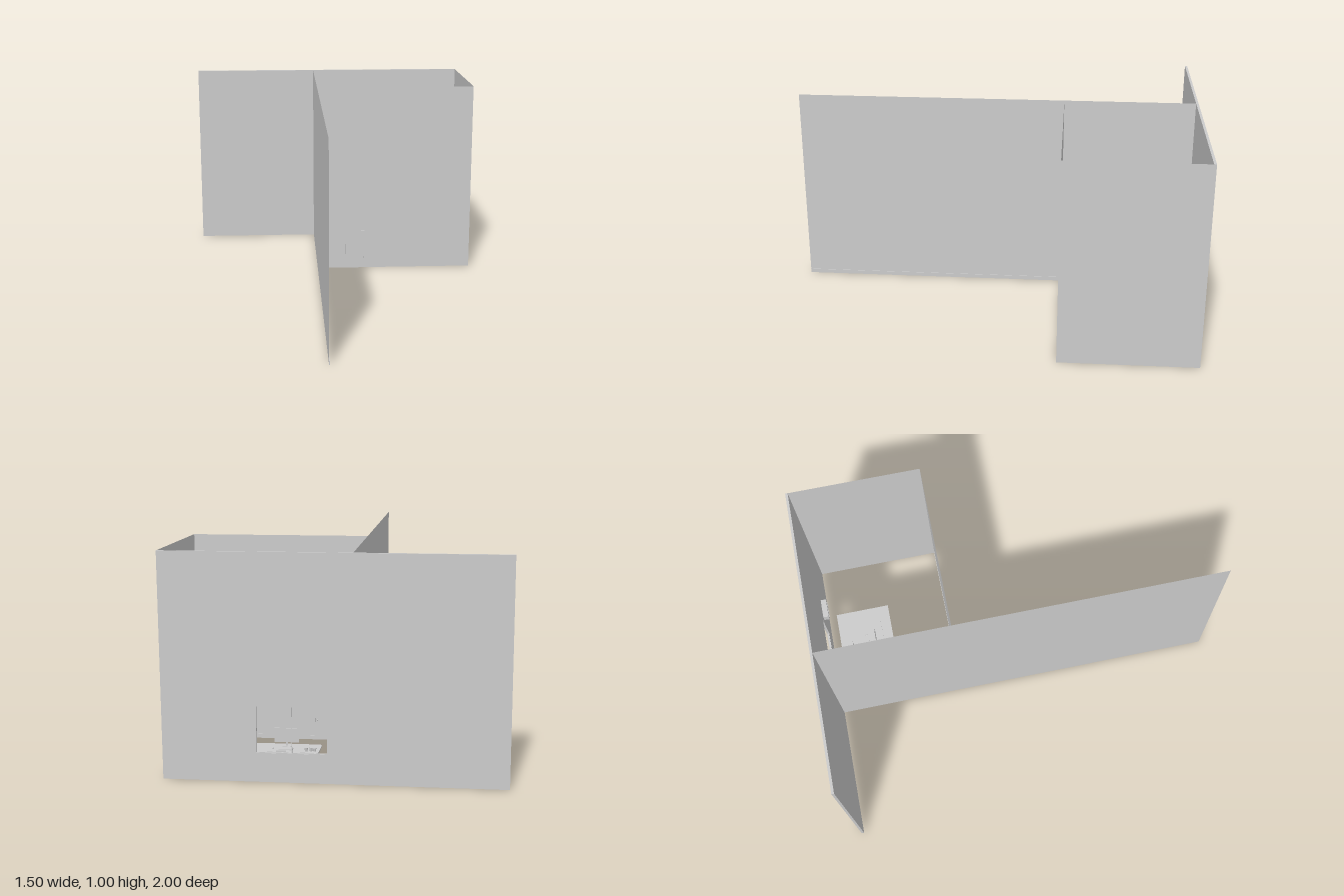
import * as THREE from 'three';

const mat = new THREE.MeshStandardMaterial({ color: 0xcccccc });
const thin = new THREE.MeshStandardMaterial({ color: 0xcccccc, side: THREE.DoubleSide });

function add(parent, name, geometry, x = 0, y = 0, z = 0, material = mat) {
  const mesh = new THREE.Mesh(geometry, material);
  mesh.name = name;
  mesh.position.set(x, y, z);
  parent.add(mesh);
  return mesh;
}

// Box given by its limits on each axis
function box(parent, name, [x0, x1], [y0, y1], [z0, z1]) {
  return add(parent, name, new THREE.BoxGeometry(x1 - x0, y1 - y0, z1 - z0),
    (x0 + x1) / 2, (y0 + y1) / 2, (z0 + z1) / 2);
}

function cylinder(parent, name, rTop, rBottom, h, x, y, z) {
  return add(parent, name, new THREE.CylinderGeometry(rTop, rBottom, h, 24), x, y + h / 2, z);
}

function group(parent, name, x = 0, y = 0, z = 0) {
  const g = new THREE.Group();
  g.name = name;
  g.position.set(x, y, z);
  parent.add(g);
  return g;
}

const LEFT = 0.75, DIVIDER = -0.083, BACK = -0.988, FRONT = -0.34;

function buildWalls(root) {
  const walls = group(root, 'walls');

  // Back wall with window opening
  const shape = new THREE.Shape();
  shape.moveTo(-0.75, 0).lineTo(0.75, 0).lineTo(0.75, 1).lineTo(-0.75, 1).closePath();
  const hole = new THREE.Path();
  hole.moveTo(0.03, 0.13).lineTo(0.03, 0.335).lineTo(0.335, 0.335).lineTo(0.335, 0.13).closePath();
  shape.holes.push(hole);
  add(walls, 'backWall', new THREE.ExtrudeGeometry(shape, { depth: 0.012, bevelEnabled: false }), 0, 0, -1);

  // Single-sheet partitions
  add(walls, 'frontWall', new THREE.PlaneGeometry(LEFT - DIVIDER, 1), (LEFT + DIVIDER) / 2, 0.5, FRONT, thin);
  const divider = add(walls, 'dividerWall', new THREE.PlaneGeometry(2, 1), DIVIDER, 0.5, 0, thin);
  const side = add(walls, 'sideWall', new THREE.PlaneGeometry(FRONT + 1, 1), LEFT, 0.5, (FRONT - 1) / 2, thin);
  divider.rotation.y = side.rotation.y = Math.PI / 2;

  // Skirting boards
  box(walls, 'dividerSkirting', [DIVIDER, DIVIDER + 0.003], [0, 0.02], [BACK, 1]);
  box(walls, 'frontSkirting', [0.175, LEFT], [0, 0.02], [FRONT - 0.002, FRONT]);

  // Window mullion and sill
  box(walls, 'windowMullion', [0.181, 0.184], [0.13, 0.335], [-0.996, -0.992]);
  box(walls, 'windowSill', [0.03, 0.335], [0.13, 0.133], [-0.998, -0.99]);
}

function buildDoor(root) {
  const door = group(root, 'door');
  for (const x of [0.068, 0.17]) box(door, 'doorJamb', [x, x + 0.004], [0, 0.212], [FRONT - 0.004, FRONT + 0.002]);
  box(door, 'doorHead', [0.068, 0.174], [0.208, 0.212], [FRONT - 0.004, FRONT + 0.002]);
  box(door, 'doorLeaf', [0.072, 0.17], [0, 0.208], [FRONT - 0.003, FRONT + 0.001]);
  add(door, 'doorKnob', new THREE.SphereGeometry(0.003, 12, 8), 0.162, 0.1, FRONT - 0.005);
}

function buildDesk(root) {
  const desk = group(root, 'desk', 0.24, 0, -0.77);
  const w = 0.15, d = 0.065, r = 0.015;
  const top = new THREE.Shape();
  top.moveTo(-w + r, -d).lineTo(w - r, -d).quadraticCurveTo(w, -d, w, -d + r);
  top.lineTo(w, d - r).quadraticCurveTo(w, d, w - r, d);
  top.lineTo(-w + r, d).quadraticCurveTo(-w, d, -w, d - r);
  top.lineTo(-w, -d + r).quadraticCurveTo(-w, -d, -w + r, -d);
  const slab = new THREE.ExtrudeGeometry(top, { depth: 0.006, bevelEnabled: false });
  slab.rotateX(-Math.PI / 2);
  add(desk, 'deskTop', slab, 0, 0.079, 0);
  for (const x of [-1, 1]) for (const z of [-1, 1])
    cylinder(desk, 'deskLeg', 0.004, 0.003, 0.079, x * 0.135, 0, z * 0.05);

  // Things on the desk
  const y = 0.085;
  box(desk, 'monitorScreen', [-0.05, 0.062], [0.105, 0.17], [0.022, 0.027]);
  box(desk, 'monitorNeck', [0.002, 0.01], [y, 0.12], [0.027, 0.031]);
  box(desk, 'monitorFoot', [-0.014, 0.026], [y, y + 0.002], [0.018, 0.04]);
  box(desk, 'keyboard', [-0.03, 0.035], [y, y + 0.003], [-0.035, -0.015]);
  add(desk, 'mouse', new THREE.SphereGeometry(0.006, 16, 8).scale(0.8, 0.5, 1.2), 0.062, y + 0.003, -0.022);
  [[-0.13, -0.04], [-0.113, -0.036], [-0.092, -0.04]].forEach(([x, z]) => {
    cylinder(desk, 'cup', 0.008, 0.006, 0.016, x, y, z);
  });
}

function buildChair(root) {
  const chair = group(root, 'chair', 0.25, 0, -0.855);
  box(chair, 'chairSeat', [-0.024, 0.024], [0.044, 0.05], [-0.018, 0.02]);
  box(chair, 'chairBack', [-0.022, 0.022], [0.06, 0.105], [-0.022, -0.018]);
  box(chair, 'chairSpine', [-0.003, 0.003], [0.044, 0.07], [-0.025, -0.02]);
  cylinder(chair, 'chairPost', 0.003, 0.003, 0.04, 0, 0.006, 0);
  for (let i = 0; i < 5; i++) {
    const a = i * Math.PI * 0.4;
    const foot = add(chair, 'chairFoot', new THREE.BoxGeometry(0.024, 0.004, 0.004),
      Math.cos(a) * 0.012, 0.006, -Math.sin(a) * 0.012);
    foot.rotation.y = a;
  }
}

function buildBookcase(root) {
  const shelf = group(root, 'bookcase');
  const X = [-0.082, -0.037], z0 = -0.89, z1 = -0.68, H = 0.3, t = 0.004;
  for (const z of [z0, z1 - t]) box(shelf, 'bookcaseSide', X, [0, H], [z, z + t]);
  for (let i = 0; i < 5; i++) {
    const y = i * (H - t) / 4;
    box(shelf, 'bookcaseShelf', X, [y, y + t], [z0, z1]);
    if (i === 4) continue;
    for (let b = 0; b < 9; b++) {
      const z = z0 + 0.01 + b * 0.012 + (i % 2) * 0.08;
      box(shelf, 'book', [-0.08, -0.05], [y + t, y + 0.048 + 0.006 * ((b * 3 + i) % 3)], [z, z + 0.01]);
    }
  }
}

function buildLamp(root) {
  const lamp = group(root, 'floorLamp', -0.06, 0, -0.37);
  cylinder(lamp, 'lampBase', 0.014, 0.016, 0.005, 0, 0, 0);
  cylinder(lamp, 'lampPole', 0.002, 0.002, 0.175, 0, 0.005, 0);
  const bowl = [[0.002, 0.178], [0.012, 0.181], [0.018, 0.188], [0.022, 0.2]];
  add(lamp, 'lampShade', new THREE.LatheGeometry(bowl.map(p => new THREE.Vector2(...p)), 28), 0, 0, 0, thin);
  add(lamp, 'lampBulb', new THREE.SphereGeometry(0.009, 16, 12), 0, 0.19, 0);
}

export function createModel() {
  const root = new THREE.Group();
  root.name = 'office';
  buildWalls(root);
  buildDoor(root);

  box(root, 'rug', [0.042, 0.485], [0, 0.002], [-0.945, -0.655]);
  buildDesk(root);
  buildChair(root);
  buildBookcase(root);
  buildLamp(root);

  // Bean bag: rounded base drawn up to a soft peak
  const bag = [[0, 0], [0.035, 0], [0.047, 0.012], [0.05, 0.026], [0.044, 0.044], [0.03, 0.06], [0.014, 0.071], [0, 0.075]];
  add(root, 'beanBag', new THREE.LatheGeometry(
    new THREE.SplineCurve(bag.map(p => new THREE.Vector2(...p))).getPoints(28).map(p => p.set(Math.max(p.x, 0), Math.max(p.y, 0))),
    36), 0.01, 0, -0.69);

  // Round stool
  const stool = group(root, 'stool', 0.22, 0.002, -0.66);
  cylinder(stool, 'stoolSeat', 0.026, 0.026, 0.01, 0, 0.042, 0);
  cylinder(stool, 'stoolPost', 0.005, 0.005, 0.04, 0, 0.002, 0);
  cylinder(stool, 'stoolBase', 0.016, 0.02, 0.004, 0, 0, 0);

  // Wall-mounted air conditioner
  const cooler = group(root, 'airConditioner');
  box(cooler, 'coolerBody', [0.365, 0.465], [0.26, 0.3], [BACK, -0.96]);
  for (let i = 0; i < 3; i++)
    box(cooler, 'coolerLouvre', [0.372, 0.458], [0.265 + i * 0.006, 0.268 + i * 0.006], [-0.961, -0.958]);
  return root;
}
